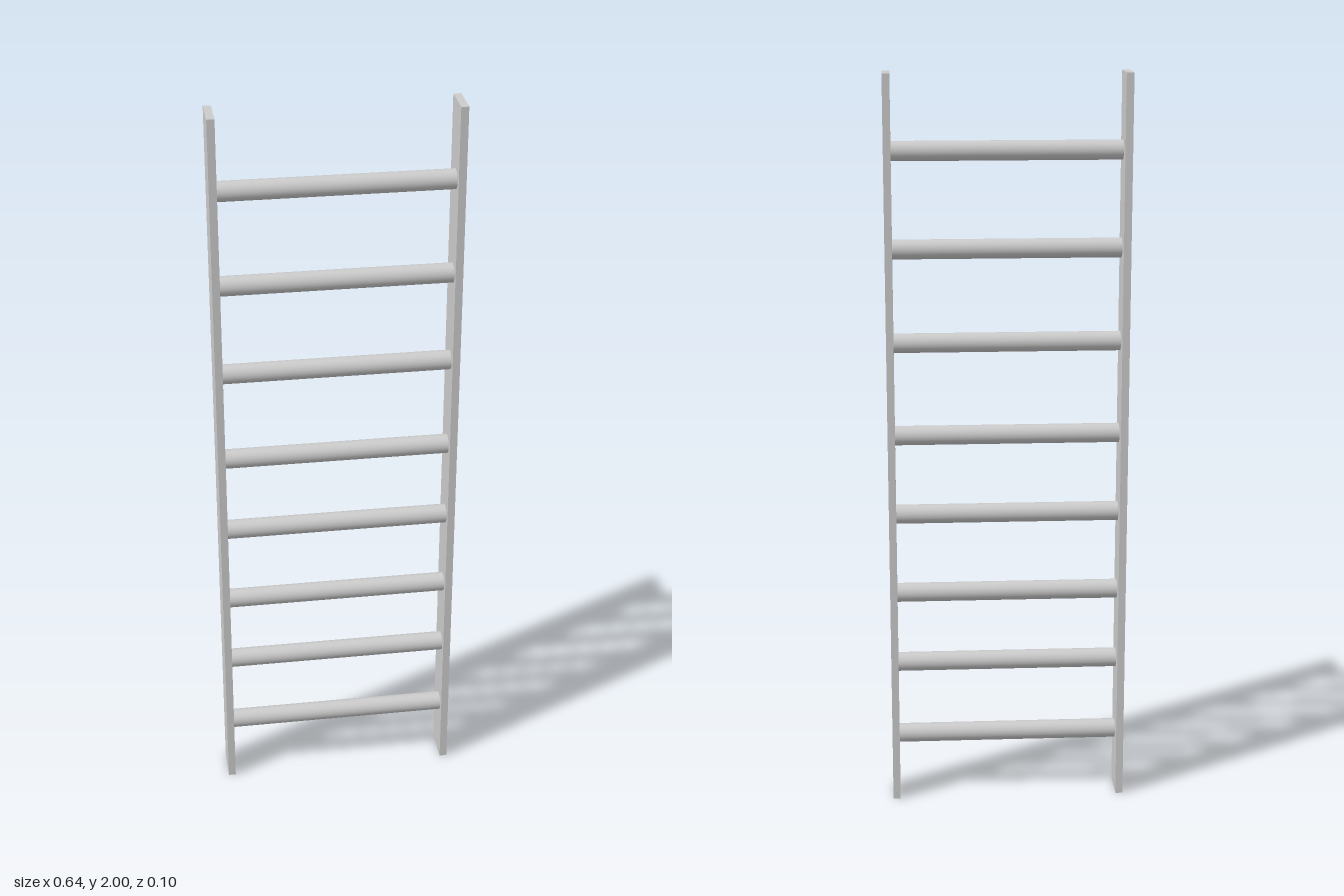
import * as THREE from 'three';

export function createModel() {
  const group = new THREE.Group();
  const material = new THREE.MeshStandardMaterial({ color: 0xcccccc });

  // Two flat side rails
  const railGeometry = new THREE.BoxGeometry(0.02, 2, 0.1);
  for (const side of [-1, 1]) {
    const rail = new THREE.Mesh(railGeometry, material);
    rail.name = side > 0 ? 'leftRail' : 'rightRail';
    rail.position.set(side * 0.312, 1, 0);
    group.add(rail);
  }

  // Round rungs, set slightly forward and unevenly spaced, let into the rails
  const rungGeometry = new THREE.CylinderGeometry(0.026, 0.026, 0.63, 48).rotateZ(Math.PI / 2);
  const rungHeights = [0.174, 0.387, 0.59, 0.815, 1.036, 1.29, 1.541, 1.798];
  rungHeights.forEach((y, i) => {
    const rung = new THREE.Mesh(rungGeometry, material);
    rung.name = `rung${i + 1}`;
    rung.position.set(0, y, 0.009);
    group.add(rung);
  });

  return group;
}
